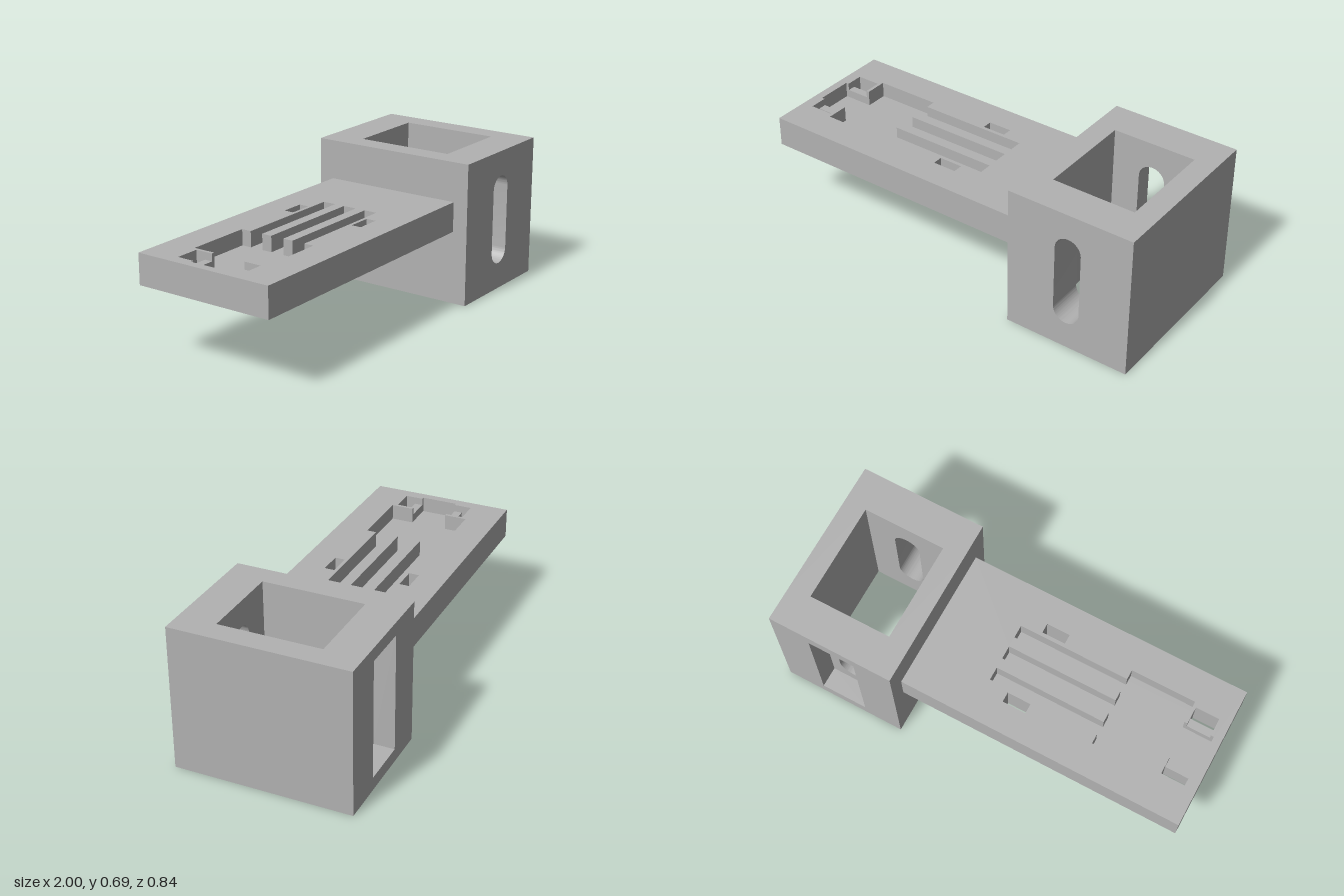
import * as THREE from 'three';
import { toCreasedNormals } from 'three/addons/utils/BufferGeometryUtils.js';

const grey = new THREE.MeshStandardMaterial({ color: 0xb2b2b2 });
grey.name = 'grey plastic';

// Closed outlines used for plates and their cut-outs
const polygon = (pts) => new THREE.Shape(pts.map(([x, y]) => new THREE.Vector2(x, y)));
const rect = (x0, x1, y0, y1) => polygon([[x0, y0], [x1, y0], [x1, y1], [x0, y1]]);
const mirrored = (half) => polygon([...half, ...half.map(([x, y]) => [x, -y]).reverse()]);

function roundSlot(cx, y0, y1, r) {
  const s = new THREE.Shape();
  s.absarc(cx, y1 - r, r, 0, Math.PI, false);
  s.absarc(cx, y0 + r, r, Math.PI, 2 * Math.PI, false);
  s.closePath();
  return s;
}

function plate(name, outline, holes, depth) {
  outline.holes = holes;
  const geo = new THREE.ExtrudeGeometry(outline, { depth, bevelEnabled: false, curveSegments: 24 });
  const mesh = new THREE.Mesh(toCreasedNormals(geo, 0.5), grey);
  mesh.name = name;
  return mesh;
}

function createArm() {
  const arm = new THREE.Group();
  arm.name = 'arm';
  const layer = (name, y0, y1, holes) => {
    const mesh = plate(name, rect(-1, 0.385, -0.346, 0.346), holes, y1 - y0);
    mesh.rotation.x = -Math.PI / 2;
    mesh.position.y = y0;
    arm.add(mesh);
  };

  // Strap slots that pass right through the arm
  const pair = (x0, x1, z0, z1) => [rect(x0, x1, z0, z1), rect(x0, x1, -z1, -z0)];
  const innerSlots = pair(-0.175, -0.06, 0.164, 0.212);
  const endSlots = pair(-0.945, -0.83, 0.127, 0.173);

  // Pocket with a narrow end tab and three finger channels
  const tab = [[-0.96, 0.088], [-0.815, 0.088]];
  const tabWithNotch = [[-0.96, 0.088], [-0.945, 0.088], [-0.945, 0.173],
    [-0.83, 0.173], [-0.83, 0.088], [-0.815, 0.088]];
  const fingers = [[-0.815, 0.195], [-0.5, 0.195], [-0.5, 0.147], [0.04, 0.147],
    [0.04, 0.083], [-0.5, 0.083], [-0.5, 0.033], [0.04, 0.033]];

  layer('armBase', 0.355, 0.425, [...innerSlots, ...endSlots]);
  layer('armPocketLayer', 0.425, 0.465, [...innerSlots, ...endSlots, mirrored([...tab, ...fingers])]);
  layer('armTopLayer', 0.465, 0.5, [...innerSlots, mirrored([...tabWithNotch, ...fingers])]);
  return arm;
}

function createSleeve() {
  const sleeve = new THREE.Group();
  sleeve.name = 'sleeve';
  const face = () => rect(0.385, 1, 0, 0.692);
  const slot = () => roundSlot(0.69, 0.13, 0.57, 0.065);

  // Front and back walls, the back one with a rectangular recess
  const walls = [
    ['frontWall', slot(), 0.242, 0.42],
    ['backWall', slot(), -0.32, -0.242],
    ['backRecess', rect(0.575, 0.805, 0.063, 0.63), -0.42, -0.32],
  ];
  for (const [name, hole, z0, z1] of walls) {
    const mesh = plate(name, face(), [hole], z1 - z0);
    mesh.position.z = z0;
    sleeve.add(mesh);
  }

  // Side walls
  for (const [name, x0, x1] of [['rightWall', 0.385, 0.49], ['leftWall', 0.893, 1]]) {
    const mesh = new THREE.Mesh(new THREE.BoxGeometry(x1 - x0, 0.692, 0.484), grey);
    mesh.name = name;
    mesh.position.set((x0 + x1) / 2, 0.346, 0);
    sleeve.add(mesh);
  }
  return sleeve;
}

export function createModel() {
  const model = new THREE.Group();
  model.name = 'slottedBracket';
  model.add(createArm(), createSleeve());
  return model;
}
